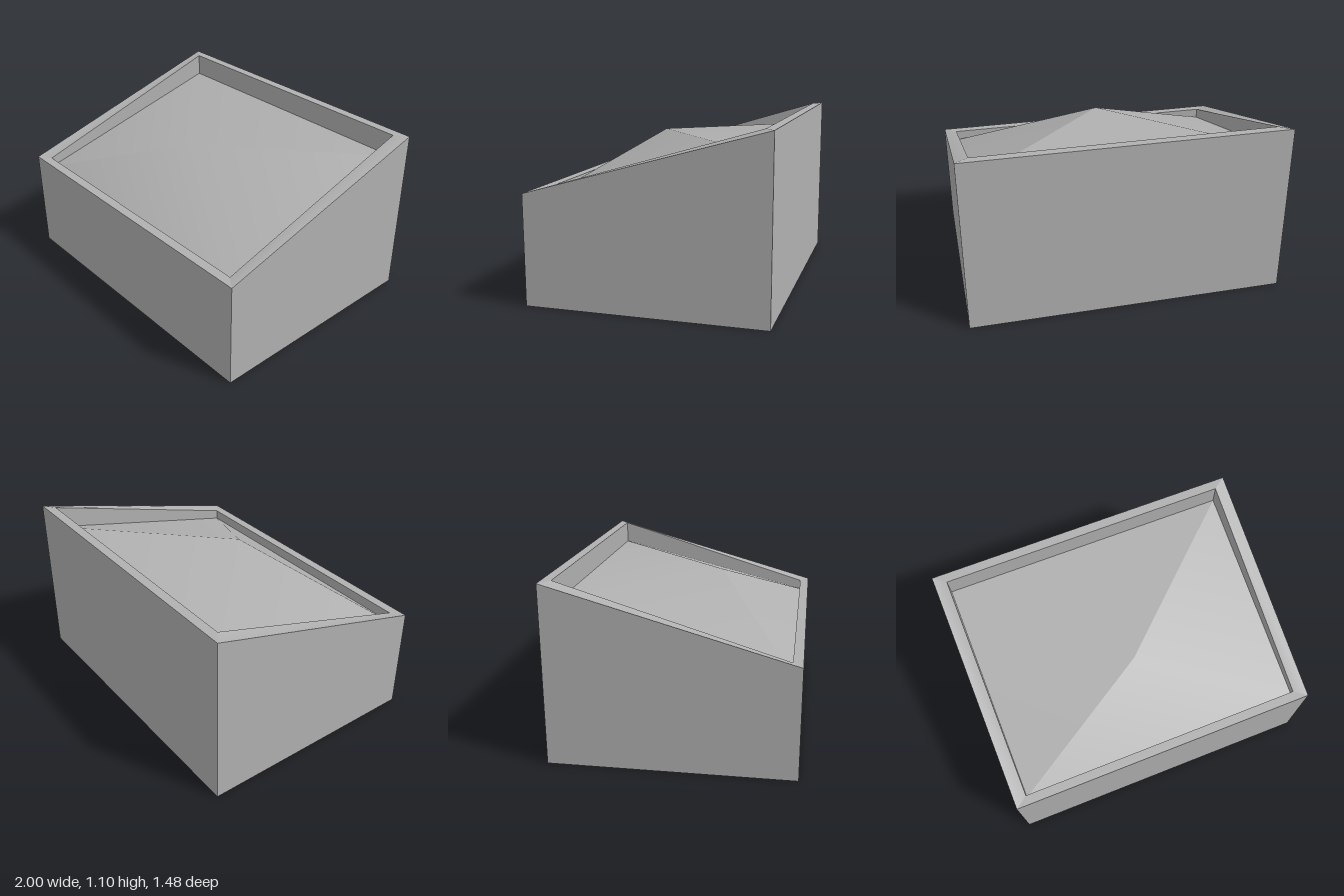
import * as THREE from 'three';

// Four corners of a rectangular ring, counter-clockwise from front left
const ring = (x, z, yFront, yBack) => [
  [-x, yFront, z], [x, yFront, z], [x, yBack, -z], [-x, yBack, -z],
];

function surface(points, index) {
  const geometry = new THREE.BufferGeometry();
  geometry.setAttribute('position', new THREE.Float32BufferAttribute(points.flat(), 3));
  geometry.setIndex(index);
  geometry.computeVertexNormals();
  return geometry;
}

// Band of four separate quads joining ring a to ring b
function band(a, b) {
  const points = [], index = [];
  for (let i = 0; i < 4; i++) {
    const j = (i + 1) % 4, n = i * 4;
    points.push(a[i], a[j], b[j], b[i]);
    index.push(n, n + 1, n + 2, n, n + 2, n + 3);
  }
  return surface(points, index);
}

export function createModel() {
  const grey = new THREE.MeshStandardMaterial({ color: 0xb0b0b0, side: THREE.DoubleSide });
  grey.name = 'grey';
  const model = new THREE.Group();
  model.name = 'slopedPlanter';
  const add = (name, geometry) => {
    const mesh = new THREE.Mesh(geometry, grey);
    mesh.name = name;
    model.add(mesh);
  };

  const base = ring(1, 0.74, 0, 0);
  const outerTop = ring(1, 0.74, 0.685, 1.1);
  const innerTop = ring(0.92, 0.68, 0.685, 1.1);
  const innerFloor = ring(0.92, 0.68, 0.04, 0.04);

  // Box open underneath, with a raised floor
  add('outerWalls', band(base, outerTop));
  add('rim', band(outerTop, innerTop));
  add('innerWalls', band(innerTop, innerFloor));
  add('floor', surface(innerFloor, [0, 2, 1, 0, 3, 2]));

  // Mounded fill: two smooth halves meeting in a crease across the diagonal
  const fill = ring(0.92, 0.68, 0.62, 0.955);
  const peak = [0, 0.978, 0.18];
  const half = (i) => surface(
    [fill[i], fill[i + 1], fill[(i + 2) % 4], peak], [0, 1, 3, 1, 2, 3]);
  add('fillFrontRight', half(0));
  add('fillBackLeft', half(2));

  return model;
}
